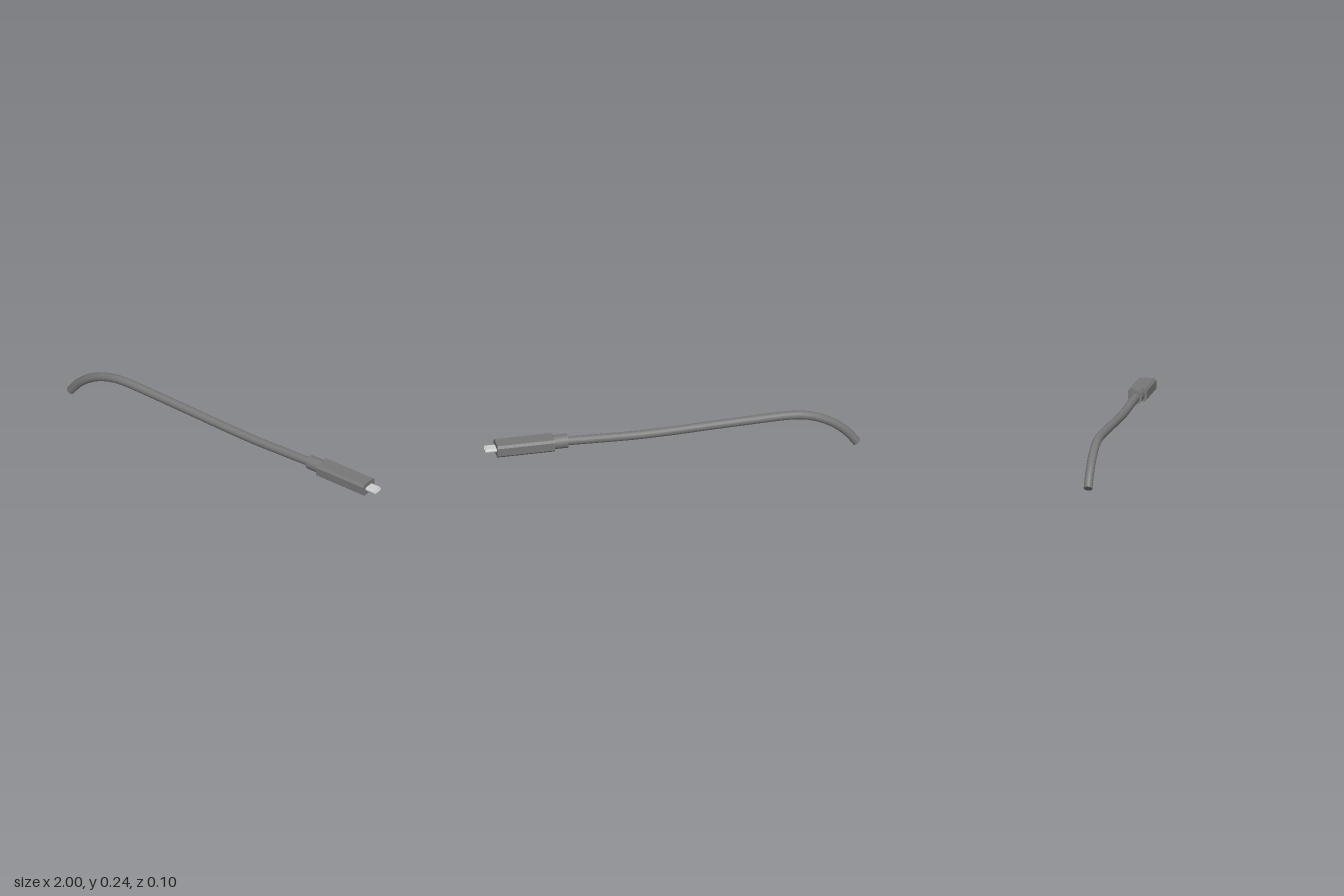
import * as THREE from 'three';

const AXIS_Y = 0.209; // height of the connector's centre line

export function createModel() {
  const group = new THREE.Group();
  const dark = new THREE.MeshStandardMaterial({ color: 0x777777 });
  const metal = new THREE.MeshStandardMaterial({ color: 0xcccccc });

  const add = (name, geometry, material) => {
    const mesh = new THREE.Mesh(geometry, material);
    mesh.name = name;
    group.add(mesh);
    return mesh;
  };

  // Extrude a cross-section along +x, from x0 to x1, on the connector axis
  const extrudeX = (name, shape, x0, x1, material) => {
    const geometry = new THREE.ExtrudeGeometry(shape, { depth: x1 - x0, bevelEnabled: false, curveSegments: 10 });
    geometry.rotateY(Math.PI / 2).translate(x0, AXIS_Y, 0);
    return add(name, geometry, material);
  };

  // Stadium outline: half length w, half height r
  const stadium = (path, w, r) => {
    path.absarc(w - r, 0, r, -Math.PI / 2, Math.PI / 2);
    path.absarc(r - w, 0, r, Math.PI / 2, Math.PI * 1.5);
    path.closePath();
    return path;
  };

  // Cable: a circular bend at the free end, then a gentle sag to the collar
  const radius = 0.023, bendX = -0.62, bendY = 0.218, bendR = 0.425;
  const points = [];
  for (let i = 0; i <= 6; i++) {
    const a = (1 - i / 6) * 1.017;
    points.push(new THREE.Vector3(bendX - bendR * Math.sin(a), bendY - bendR * (1 - Math.cos(a)), 0));
  }
  for (const [x, y] of [[-0.4, 0.214], [-0.2, 0.208], [0, 0.201], [0.2, 0.198], [0.4, 0.203], [0.6, AXIS_Y]]) {
    points.push(new THREE.Vector3(x, y, 0));
  }
  const curve = new THREE.CatmullRomCurve3(points);
  add('cable', new THREE.TubeGeometry(curve, 96, radius, 24), dark);

  // Flat cut closing the free end
  const cut = add('cableEnd', new THREE.CircleGeometry(radius, 24), dark);
  cut.position.copy(points[0]);
  cut.quaternion.setFromUnitVectors(new THREE.Vector3(0, 0, 1), curve.getTangent(0).negate());

  // Round strain-relief collar
  const collar = new THREE.CylinderGeometry(0.037, 0.037, 0.08, 32);
  collar.rotateZ(Math.PI / 2).translate(0.602, AXIS_Y, 0);
  add('collar', collar, dark);

  // Connector housing with chamfered long edges
  const w = 0.05, h = 0.034, c = 0.012;
  const section = new THREE.Shape([
    [w, c - h], [w, h - c], [w - c, h], [c - w, h],
    [-w, h - c], [-w, c - h], [c - w, -h], [w - c, -h],
  ].map(([x, y]) => new THREE.Vector2(x, y)));
  extrudeX('housing', section, 0.637, 0.943, dark);

  // Hollow metal plug
  const shell = stadium(new THREE.Shape(), 0.03, 0.011);
  shell.holes.push(stadium(new THREE.Path(), 0.027, 0.008));
  extrudeX('plugShell', shell, 0.94, 1, metal);

  return group;
}
